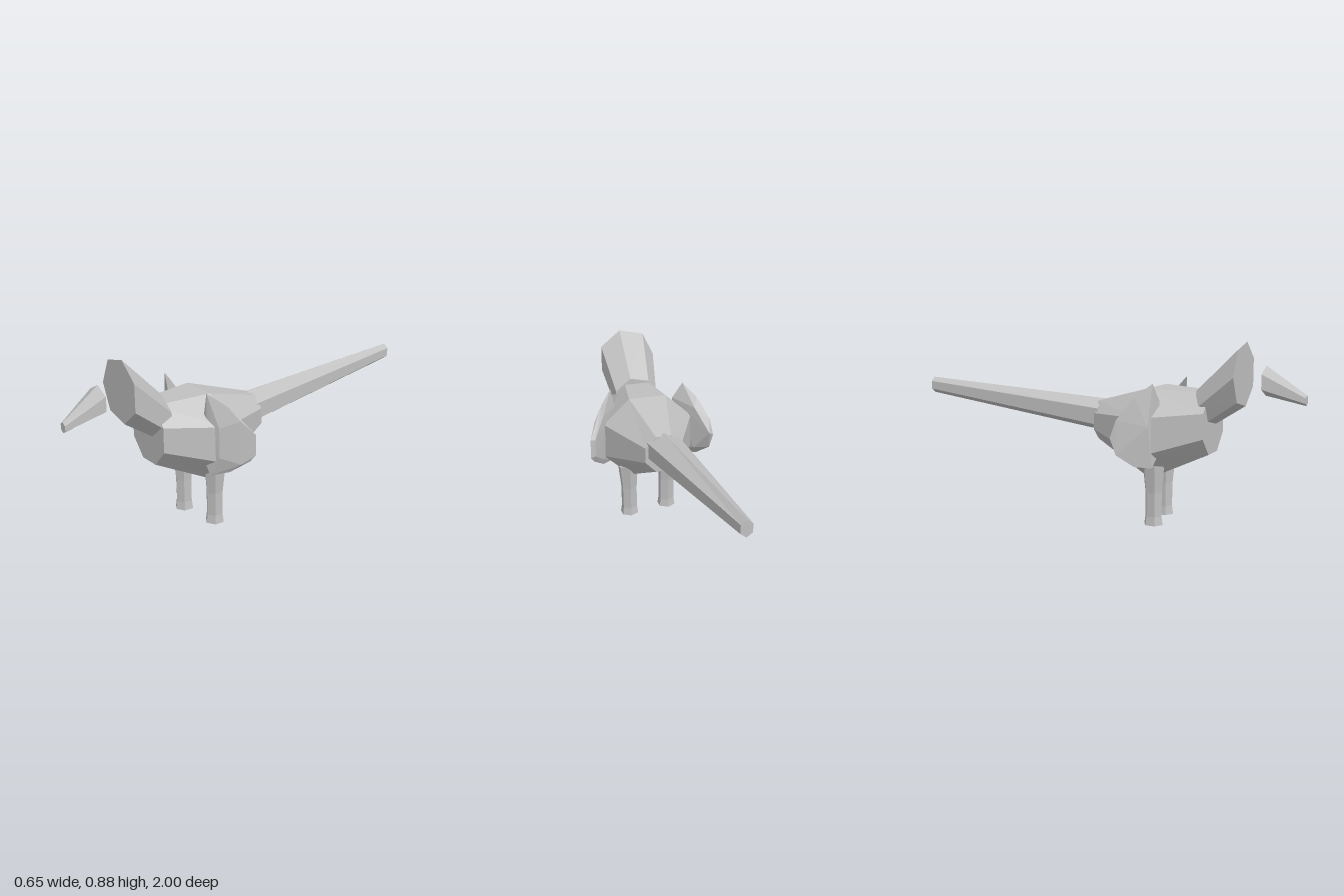
import * as THREE from 'three';
import { ConvexGeometry } from 'three/addons/geometries/ConvexGeometry.js';

// Regular n-gon with n corners around (cx, cy), stretched to rx by ry, lying at depth z
function ring(n, phase, cx, cy, rx, ry, z) {
  const points = [];
  for (let i = 0; i < n; i++) {
    const a = phase + (i / n) * Math.PI * 2;
    points.push([cx + rx * Math.cos(a), cy + ry * Math.sin(a), z]);
  }
  return points;
}

// Flat-faceted closed skin through rings ordered by rising z
function loft(rings) {
  const n = rings[0].length;
  const pos = [];
  const tri = (a, b, c) => pos.push(...a, ...b, ...c);
  for (let k = 0; k < rings.length - 1; k++) {
    const a = rings[k], b = rings[k + 1];
    for (let i = 0; i < n; i++) {
      const j = (i + 1) % n;
      tri(a[i], a[j], b[j]);
      tri(a[i], b[j], b[i]);
    }
  }
  const first = rings[0], last = rings[rings.length - 1];
  for (let i = 1; i < n - 1; i++) {
    tri(first[0], first[i + 1], first[i]);
    tri(last[0], last[i], last[i + 1]);
  }
  const geometry = new THREE.BufferGeometry();
  geometry.setAttribute('position', new THREE.Float32BufferAttribute(pos, 3));
  geometry.computeVertexNormals();
  return geometry;
}

export function createModel() {
  const model = new THREE.Group();
  model.name = 'bird';
  const grey = new THREE.MeshStandardMaterial({ color: 0xc0c0c0 });
  grey.name = 'plain grey';

  const add = (name, geometry) => {
    const mesh = new THREE.Mesh(geometry, grey);
    mesh.name = name;
    model.add(mesh);
  };

  // Body: three octagons, given by half width and half height
  const octagon = (cy, hw, hh, z) => {
    const k = 1 / Math.cos(Math.PI / 8);
    return ring(8, Math.PI / 8, 0, cy, hw * k, hh * k, z);
  };
  add('body', loft([
    octagon(0.475, 0.092, 0.095, -0.02),
    octagon(0.4375, 0.235, 0.2175, 0.285),
    octagon(0.4955, 0.136, 0.1445, 0.567),
  ]));

  // Tail: long hexagonal taper drifting to one side
  const up = Math.PI / 2;
  add('tail', loft([
    ring(6, up, -0.066, 0.601, 0.031, 0.041, -1),
    ring(6, up, -0.006, 0.4975, 0.1, 0.081, 0),
  ]));

  // Head: seven-sided, widening forward
  add('head', loft([
    ring(7, Math.PI, 0.008, 0.561, 0.118, 0.117, 0.507),
    ring(7, Math.PI, 0.0076, 0.729, 0.1525, 0.154, 0.71),
  ]));

  // Beak: hexagonal taper standing clear of the head
  add('beak', loft([
    ring(6, up, 0.008, 0.707, 0.083, 0.069, 0.815),
    ring(6, up, 0.027, 0.624, 0.024, 0.025, 1),
  ]));

  // Legs: hexagonal columns with a flared foot, set one a little ahead of the other
  for (const [name, side, z] of [['leftLeg', 1, 0.275], ['rightLeg', -1, 0.312]]) {
    const levels = [[0, 0.048, 0.108], [0.042, 0.042, 0.108], [0.16, 0.043, 0.109], [0.29, 0.055, 0.113]];
    const geometry = loft(levels.map(([y, r, x]) => ring(6, up, side * x, -z, r, r, y)));
    add(name, geometry.rotateX(-Math.PI / 2));
  }

  // Wings: thin faceted blades swept outward and back (rim, front ridge, back)
  const blade = (points) => new ConvexGeometry(points.map((p) => new THREE.Vector3(...p)));
  add('leftWing', blade([
    [0.178, 0.69, 0.36], [0.243, 0.633, 0.29], [0.325, 0.495, 0.187], [0.325, 0.395, 0.187],
    [0.306, 0.363, 0.207], [0.243, 0.305, 0.28], [0.185, 0.286, 0.35], [0.17, 0.333, 0.36], [0.157, 0.59, 0.36],
    [0.234, 0.53, 0.33], [0.234, 0.385, 0.33], [0.29, 0.563, 0.248], [0.29, 0.35, 0.248],
    [0.3, 0.49, 0.19], [0.3, 0.4, 0.19], [0.24, 0.58, 0.265], [0.24, 0.34, 0.265],
  ]));
  add('rightWing', blade([
    [-0.206, 0.69, 0.345], [-0.264, 0.63, 0.28], [-0.317, 0.526, 0.212], [-0.329, 0.444, 0.187],
    [-0.317, 0.363, 0.212], [-0.264, 0.305, 0.28], [-0.208, 0.293, 0.345], [-0.178, 0.335, 0.355], [-0.154, 0.605, 0.358],
    [-0.238, 0.49, 0.335],
    [-0.305, 0.46, 0.178], [-0.245, 0.58, 0.252], [-0.245, 0.35, 0.252],
  ]));

  return model;
}
